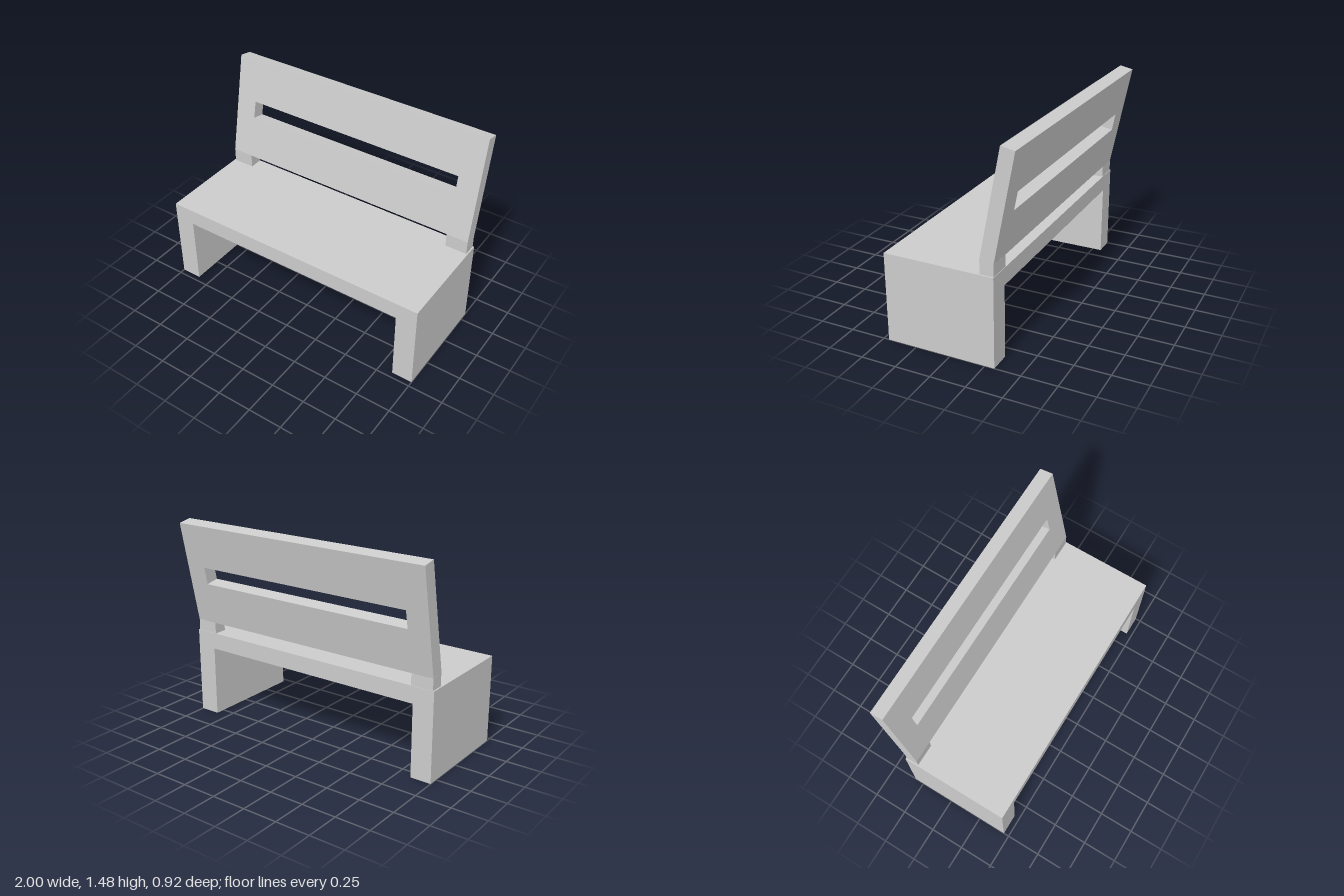
import * as THREE from 'three';

const material = new THREE.MeshStandardMaterial({ color: 0xcccccc, flatShading: true, side: THREE.DoubleSide });

const SEAT_Y = 0.635, UNDER_Y = 0.515, FRONT = 0.46, BACK = -0.318, LEG_X = 0.85;
const DEPTH = FRONT - BACK, MID_Z = (FRONT + BACK) / 2;
const BACK_X = 0.99, SLOT_X = 0.832, TILT = 0.1936, THICK = 0.097;

function add(parent, name, geometry) {
  const mesh = new THREE.Mesh(geometry, material);
  mesh.name = name;
  parent.add(mesh);
  return mesh;
}

const shapeOf = (points) => new THREE.Shape(points.map(([x, y]) => new THREE.Vector2(x, y)));
const rect = (x, y0, y1) => [[-x, y0], [x, y0], [x, y1], [-x, y1]];

// Hollow bench base, open underneath
function createBase() {
  const base = new THREE.Group();
  base.name = 'base';

  // Arch-shaped front and back
  const arch = shapeOf([[-1, 0], [-LEG_X, 0], [-LEG_X, UNDER_Y], [LEG_X, UNDER_Y],
    [LEG_X, 0], [1, 0], [1, SEAT_Y], [-1, SEAT_Y]]);
  add(base, 'frontPanel', new THREE.ShapeGeometry(arch)).position.z = FRONT;
  const rear = add(base, 'backPanel', new THREE.ShapeGeometry(arch));
  rear.rotation.y = Math.PI;
  rear.position.z = BACK;

  // Seat top
  const seat = add(base, 'seat', new THREE.PlaneGeometry(2, DEPTH).rotateX(-Math.PI / 2));
  seat.position.set(0, SEAT_Y, MID_Z);

  // Outer and inner walls of each leg
  for (const [side, s] of [['left', 1], ['right', -1]]) {
    const outer = add(base, side + 'LegOuterWall',
      new THREE.PlaneGeometry(DEPTH, SEAT_Y).rotateY(s * Math.PI / 2));
    outer.position.set(s, SEAT_Y / 2, MID_Z);
    const inner = add(base, side + 'LegInnerWall',
      new THREE.PlaneGeometry(DEPTH, UNDER_Y).rotateY(-s * Math.PI / 2));
    inner.position.set(s * LEG_X, UNDER_Y / 2, MID_Z);
  }
  return base;
}

// Leaning slotted backrest on two short upright feet
function createBackrest() {
  const backrest = new THREE.Group();
  backrest.name = 'backrest';

  const outline = shapeOf(rect(BACK_X, 0, 0.755));
  outline.holes.push(shapeOf(rect(SLOT_X, 0.311, 0.438)));
  const panel = add(backrest, 'backPanelWithSlot',
    new THREE.ExtrudeGeometry(outline, { depth: THICK, bevelEnabled: false }).translate(0, 0, -THICK));
  panel.position.set(0, 0.735, -0.22);
  panel.rotation.x = -TILT;

  // Feet, with the sloped top meeting the leaning panel
  const width = BACK_X - SLOT_X;
  const profile = shapeOf([[-0.315, SEAT_Y], [-0.22, SEAT_Y], [-0.22, 0.735], [-0.315, 0.716]]);
  for (const [name, x] of [['leftBackFoot', BACK_X], ['rightBackFoot', -SLOT_X]]) {
    const foot = add(backrest, name,
      new THREE.ExtrudeGeometry(profile, { depth: width, bevelEnabled: false }).rotateY(-Math.PI / 2));
    foot.position.x = x;
  }
  return backrest;
}

export function createModel() {
  const bench = new THREE.Group();
  bench.name = 'bench';
  bench.add(createBase(), createBackrest());
  return bench;
}
